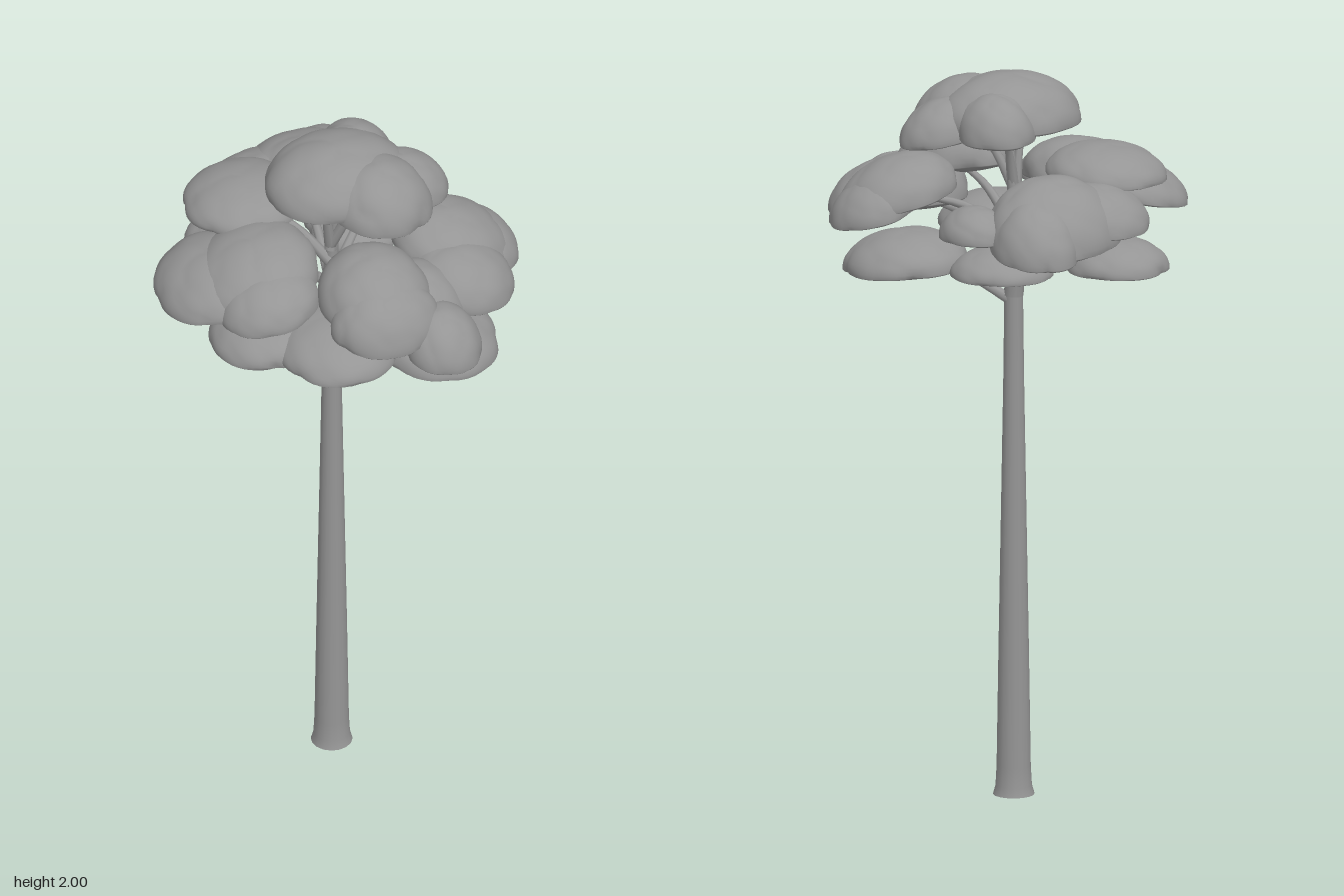
import * as THREE from 'three';
import { mergeVertices } from 'three/addons/utils/BufferGeometryUtils.js';

const grey = new THREE.MeshStandardMaterial({ color: 0x959595 });
grey.name = 'plain grey';
const greyOpen = new THREE.MeshStandardMaterial({ color: 0x959595, side: THREE.DoubleSide });
greyOpen.name = 'plain grey';

function seeded(seed) {
  let s = seed * 7919 + 17;
  return () => (s = (s * 16807) % 2147483647) / 2147483647;
}

// Lumpy dome with a shallow underside; it droops away from the trunk by slope
function puffGeometry(rx, rz, height, slopeX, slopeZ, seed) {
  const rand = seeded(seed);
  const knobs = [];
  for (let i = 0; i < 30; i++) {
    const a = i * 2.4 + rand() * 0.7, y = 0.97 - (i / 30) * 1.05, r = Math.sqrt(1 - y * y);
    knobs.push(new THREE.Vector3(Math.cos(a) * r, y, Math.sin(a) * r));
  }
  let geo = new THREE.SphereGeometry(1, 48, 30);
  geo.deleteAttribute('uv');
  geo.deleteAttribute('normal');
  geo = mergeVertices(geo, 1e-4);
  const p = geo.attributes.position, v = new THREE.Vector3();
  for (let i = 0; i < p.count; i++) {
    v.fromBufferAttribute(p, i);
    let bulge = 0;
    for (const k of knobs) bulge = Math.max(bulge, 1 - v.distanceToSquared(k) / 0.25);
    const s = 0.9 + 0.1 * Math.sqrt(Math.max(0, bulge));
    const x = v.x * s * rx, z = v.z * s * rz;
    const y = v.y > 0 ? v.y * s * height * 0.84 : v.y * height * 0.16;
    p.setXYZ(i, x, y + height * 0.16 - x * slopeX - z * slopeZ, z);
  }
  geo.computeVertexNormals();
  return geo;
}

// Tapered limb along a curve, built by narrowing a tube
function limbGeometry(points, r0, r1, sides = 10, steps = 14) {
  const curve = new THREE.CatmullRomCurve3(points.map((q) => new THREE.Vector3(...q)));
  const geo = new THREE.TubeGeometry(curve, steps, 1, sides, false);
  const p = geo.attributes.position, v = new THREE.Vector3();
  for (let i = 0; i < p.count; i++) {
    const t = Math.floor(i / (sides + 1)) / steps;
    const c = curve.getPointAt(t);
    v.fromBufferAttribute(p, i).sub(c).multiplyScalar(r0 + (r1 - r0) * t).add(c);
    p.setXYZ(i, v.x, v.y, v.z);
  }
  return geo;
}

// Foliage: x, z, rx, rz, bottom, top, droop
const foliage = {
  crown: [
    [0.02, -0.01, 0.205, 0.175, 1.84, 2.0, 0],
    [0.11, -0.1, 0.105, 0.125, 1.83, 1.97, 0.05],
    [0.1, 0.09, 0.145, 0.145, 1.82, 1.98, 0.1],
    [0.2, 0.03, 0.12, 0.11, 1.82, 1.94, 0.2],
  ],
  backLeftPad: [[-0.18, -0.19, 0.165, 0.165, 1.72, 1.82, 0.06]],
  backMass: [
    [0.06, -0.34, 0.19, 0.16, 1.6, 1.78, 0.2],
    [0.14, -0.39, 0.12, 0.135, 1.58, 1.74, 0.2],
    [-0.07, -0.34, 0.15, 0.13, 1.63, 1.75, 0.15],
  ],
  backRightPad: [[0.25, -0.25, 0.095, 0.11, 1.61, 1.71, 0]],
  lowBackRightPad: [[0.17, -0.25, 0.14, 0.14, 1.5, 1.59, 0]],
  lowBackLeftPad: [[-0.15, -0.31, 0.14, 0.14, 1.49, 1.59, 0]],
  leftMass: [
    [-0.34, -0.02, 0.155, 0.18, 1.61, 1.73, 0.2],
    [-0.24, 0.03, 0.18, 0.18, 1.63, 1.78, 0.18],
    [-0.24, 0.14, 0.14, 0.125, 1.62, 1.74, 0.15],
  ],
  lowLeftPad: [[-0.22, 0.1, 0.165, 0.16, 1.49, 1.6, 0.05]],
  lowFrontPad: [[-0.08, 0.23, 0.165, 0.175, 1.5, 1.61, 0.05]],
  frontMass: [
    [0.01, 0.28, 0.155, 0.16, 1.66, 1.82, 0.15],
    [0.01, 0.36, 0.155, 0.115, 1.63, 1.78, 0.2],
    [0.15, 0.41, 0.11, 0.115, 1.56, 1.7, 0.15],
    [0.14, 0.27, 0.13, 0.14, 1.58, 1.74, 0.1],
  ],
  rightMass: [
    [0.3, 0.1, 0.165, 0.155, 1.64, 1.78, 0.22],
    [0.38, 0.09, 0.115, 0.13, 1.61, 1.73, 0.25],
    [0.28, 0.22, 0.15, 0.14, 1.6, 1.74, 0.15],
  ],
  lowRightPad: [[0.215, 0.21, 0.17, 0.18, 1.42, 1.54, 0.08]],
};

// Branches: start height, then tip x, y, z
const branches = [
  [1.36, 0.2, 1.45, 0.2], [1.42, -0.08, 1.53, 0.2], [1.42, -0.2, 1.52, 0.09],
  [1.45, 0.16, 1.52, -0.24], [1.44, -0.15, 1.52, -0.29], [1.53, 0.24, 1.64, -0.24],
  [1.54, -0.24, 1.66, 0.02], [1.54, 0.28, 1.67, 0.1], [1.55, 0.02, 1.69, 0.3],
  [1.55, 0.04, 1.65, -0.34], [1.61, -0.17, 1.74, -0.18], [1.52, 0.14, 1.6, 0.38],
  [1.67, 0.12, 1.85, 0.08], [1.67, -0.06, 1.86, 0.02], [1.65, 0.08, 1.86, -0.08],
];

export function createModel() {
  const tree = new THREE.Group();
  tree.name = 'tree';
  const add = (geo, name, mat, parent = tree) => {
    const mesh = new THREE.Mesh(geo, mat);
    mesh.name = name;
    parent.add(mesh);
    return mesh;
  };

  // Trunk with a small flare at the foot
  const profile = [[0.056, 0], [0.049, 0.025], [0.046, 0.08], [0.041, 0.4], [0.034, 0.8], [0.028, 1.15], [0.025, 1.4]];
  add(new THREE.LatheGeometry(profile.map((q) => new THREE.Vector2(...q)), 16), 'trunk', greyOpen);
  add(limbGeometry([[0, 1.38, 0], [0.0, 1.5, -0.014], [0.008, 1.64, -0.018], [0.02, 1.86, 0]], 0.027, 0.01), 'upperTrunk', grey);

  // Branches bend outward, then flatten under the foliage
  const limbs = new THREE.Group();
  limbs.name = 'branches';
  tree.add(limbs);
  for (const [y0, x, y, z] of branches) {
    const mid = y0 + (y - y0) * 0.7;
    add(limbGeometry([[0, y0, -0.01], [x * 0.45, mid, z * 0.45], [x, y, z]], 0.017, 0.006, 8, 10), 'branch', grey, limbs);
  }

  // Foliage pads
  let seed = 1;
  for (const [name, puffs] of Object.entries(foliage)) {
    const pad = new THREE.Group();
    pad.name = name;
    tree.add(pad);
    for (const [x, z, rx, rz, bottom, top, droop] of puffs) {
      const d = Math.hypot(x, z) || 1;
      const geo = puffGeometry(rx, rz, top - bottom, (droop * x) / d, (droop * z) / d, seed++);
      add(geo, name + 'Puff', grey, pad).position.set(x, bottom, z);
    }
  }
  return tree;
}
